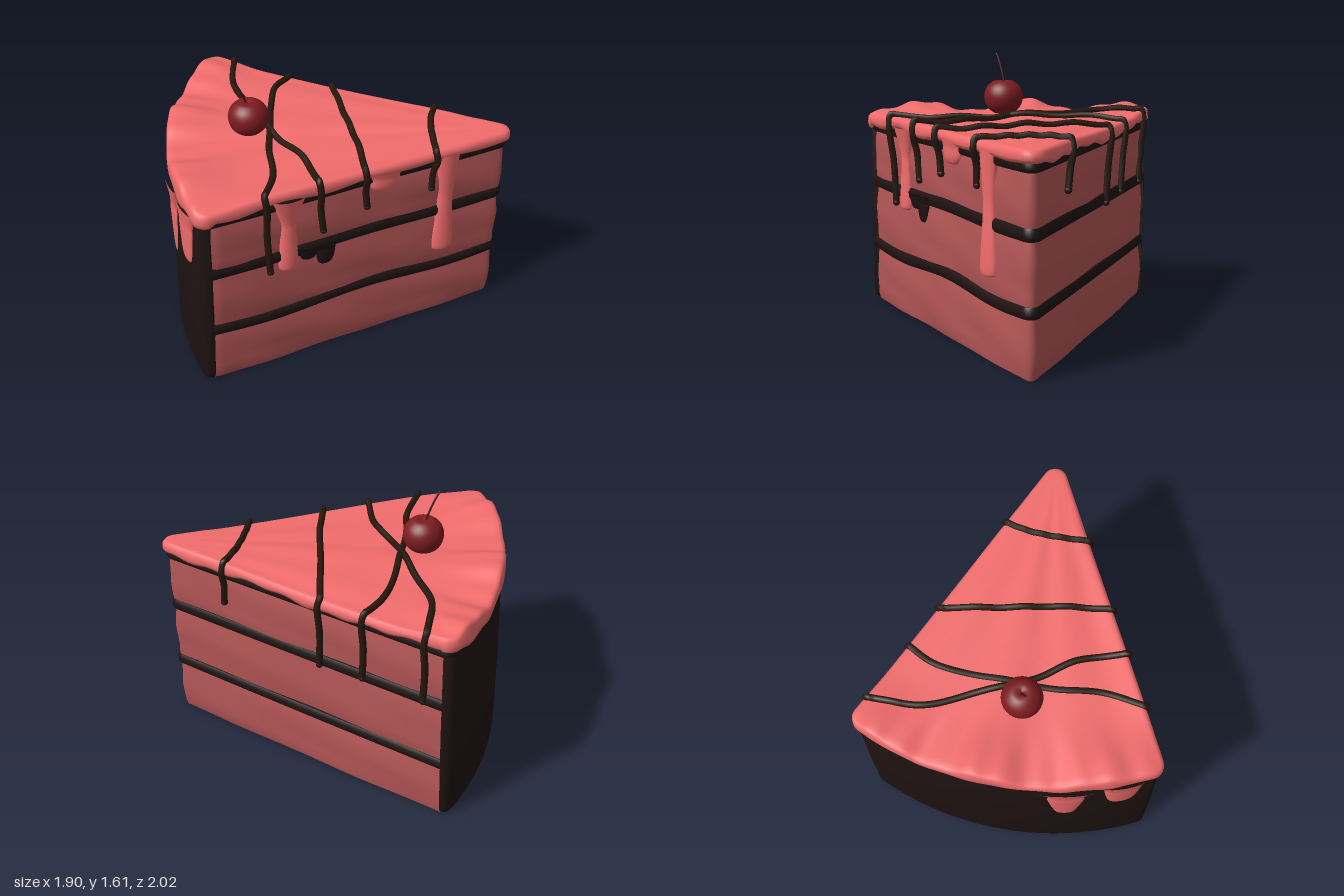
import * as THREE from 'three';
import { toCreasedNormals } from 'three/addons/utils/BufferGeometryUtils.js';

const { sin, cos, PI } = Math;
const rad = (d) => d * PI / 180;
const mat = (color) => new THREE.MeshStandardMaterial({ color });
const sponge = mat(0xb45656), chocolate = mat(0x1f1212), icing = mat(0xf26c6c),
  syrup = mat(0x26170d), cherryRed = mat(0x7c1c20), stemBrown = mat(0x3f1414);

// Plan of the slice: a circle sector with rounded corners
const TIP = { x: 0.875, z: 0.92 }, R = 1.92, ROUND = 0.04;
const A0 = rad(204.6), A1 = rad(256);               // directions of the two cut sides
const NA = A0 - PI / 2, NB = A1 + PI / 2;           // outward normals of the cut sides
const CENTRE = { x: 0.1, z: 0.05 };

// Samples round the outline: core point, normal angle, kind of edge
function outline() {
  const list = [];
  const add = (n, kind, f) => {
    for (let i = 0; i < n; i++) {
      const [r, dir, a] = f(kind === 'side' ? i / n : i / (n - 1));
      list.push({ x: TIP.x + r * cos(dir), z: TIP.z + r * sin(dir), nx: cos(a), nz: sin(a), kind });
    }
  };
  add(50, 'side', (t) => [R * t, A0, NA]);
  add(7, 'back', (t) => [R, A0, NA + t * PI / 2]);
  add(70, 'back', (t) => [R, A0 + (A1 - A0) * t, A0 + (A1 - A0) * t]);
  add(7, 'back', (t) => [R, A1, A1 + t * PI / 2]);
  add(50, 'side', (t) => [R * (1 - t), A1, NB]);
  add(9, 'tip', (t) => [0, 0, NB + t * (NA + 2 * PI - NB)]);
  return list;
}
const SAMPLES = outline();

// Closed loft: each row maps a sample to {off, y, s}; s pulls the ring to the centre
function loft(name, material, rows, crease = 0.7) {
  const pos = [], idx = [], n = SAMPLES.length;
  rows.forEach((row) => SAMPLES.forEach((p) => {
    const { off, y, s = 1 } = row(p);
    const x = THREE.MathUtils.lerp(CENTRE.x, p.x + p.nx * (ROUND + off), s);
    const z = THREE.MathUtils.lerp(CENTRE.z, p.z + p.nz * (ROUND + off), s);
    pos.push(x, typeof y === 'function' ? y(x, z) : y, z);
  }));
  for (let j = 0; j < rows.length - 1; j++) for (let i = 0; i < n; i++) {
    const k = (i + 1) % n, a = j * n + i, b = a + n, c = (j + 1) * n + k, d = j * n + k;
    idx.push(a, b, c, a, c, d);
  }
  const g = new THREE.BufferGeometry();
  g.setAttribute('position', new THREE.Float32BufferAttribute(pos, 3));
  g.setIndex(idx);
  return named(name, toCreasedNormals(g, crease), material);
}

function named(name, geometry, material) {
  const m = new THREE.Mesh(geometry, material);
  m.name = name;
  return m;
}

// Solid layer between y0 and y1 with a side profile of [height fraction, offset]
function layer(name, material, y0, y1, profile, wave, lump) {
  const at = (f, off, s) => (p) => {
    const y = y0 + (y1 - y0) * f;
    return { off: off(p, y), y: y + wave(p), s };
  };
  const rows = profile.map(([f, o]) => at(f, (p, y) => o + lump(p, y), 1));
  rows.unshift(at(0, () => 0, 0));
  rows.push(at(1, () => 0, 0));
  return loft(name, material, rows);
}

// Height of the icing top: gentle folds and a lumpy raised back rim
function topY(x, z) {
  const dx = x - TIP.x, dz = z - TIP.z, d = Math.hypot(dx, dz);
  const a = Math.atan2(dz, dx) + 2 * PI;
  const rim = THREE.MathUtils.smoothstep(d, 1.6, 1.95);
  const folds = 0.008 * sin(a * 22) * Math.min(1, d);
  return 1.222 + folds + 0.006 * sin(6 * x - 4 * z)
    + rim * (0.022 + 0.026 * cos((a - rad(233.3)) * 17.4) + 0.008 * sin(a * 60));
}

// Points on the walls of the slice, with the outward normal
const wall = (r, dir, normal, off) => ({
  x: TIP.x + r * cos(dir) + (ROUND + off) * cos(normal),
  z: TIP.z + r * sin(dir) + (ROUND + off) * sin(normal), normal });
const frontWall = (x, off) =>
  wall((x - TIP.x - (ROUND + off) * cos(NA)) / cos(A0), A0, NA, off);
const sideWall = (z, off) =>
  wall((z - TIP.z - (ROUND + off) * sin(NB)) / sin(A1), A1, NB, off);
const backWall = (deg, off) => wall(R, rad(deg), rad(deg), off);

// Flattened run of icing or filling hanging on a wall
function drip(name, material, w, yTop, yBot, top, neck, bulb, depth) {
  const h = yTop - yBot, b = Math.min(bulb * 0.9, h * 0.4);
  const pts = [[0, yBot], [bulb * 0.65, yBot + b * 0.15], [bulb, yBot + b * 0.8],
    [neck, yBot + b + (h - b) * 0.45], [neck * 1.05, yBot + b + (h - b) * 0.65], [top, yTop]];
  const curve = new THREE.SplineCurve(pts.map((p) => new THREE.Vector2(...p)));
  const profile = curve.getPoints(28).map((p) => p.set(Math.max(0, p.x), p.y));
  const m = named(name, new THREE.LatheGeometry(profile, 24), material);
  m.position.set(w.x, 0, w.z);
  m.rotation.y = PI / 2 - w.normal;
  m.scale.z = depth;
  return m;
}

// Syrup line across the top, hanging over both cut sides
function drizzle(x0, x0Low, y0, mids, z1, y1) {
  const v = (p, y) => new THREE.Vector3(p.x, y, p.z);
  const a = frontWall(x0, 0.03), b = sideWall(z1, 0.02);
  const across = new THREE.CatmullRomCurve3(
    [v(a, 0), ...mids.map(([x, z]) => new THREE.Vector3(x, 0, z)), v(b, 0)]).getPoints(36);
  across.forEach((p) => { p.y = topY(p.x, p.z) + 0.012; });
  const mid = (y0 + 1.2) / 2;
  const path = [v(frontWall(x0Low, 0.018), y0), v(frontWall((x0 + x0Low) / 2, 0.022), mid),
    v(frontWall(x0, 0.045), 1.17), ...across,
    v(sideWall(z1, 0.04), 1.17), v(sideWall(z1 + 0.005, 0.025), (y1 + 1.2) / 2),
    v(sideWall(z1 + 0.02, 0.018), y1)];
  const g = new THREE.Group();
  g.name = 'drizzle';
  g.add(named('drizzleLine', new THREE.TubeGeometry(new THREE.CatmullRomCurve3(path), 160, 0.02, 8), syrup));
  for (const p of [path[0], path[path.length - 1]]) {
    const end = named('drizzleEnd', new THREE.SphereGeometry(0.022, 12, 8), syrup);
    end.position.copy(p);
    g.add(end);
  }
  return g;
}

export function createModel() {
  const cake = new THREE.Group();
  cake.name = 'cakeSlice';

  // Sponge layers, slightly uneven on the cut sides
  const lump = (p, y) => (p.kind === 'back' ? -0.015 : 0.007 * sin(9 * p.x + 14 * y) * sin(5 * p.z - 11 * y));
  const bulge = [[0, -0.008], [0.08, 0], [0.25, 0.002], [0.42, 0.006], [0.6, 0.006], [0.8, 0], [1, -0.01]];
  for (const [y0, y1] of [[0, 0.37], [0.37, 0.78], [0.78, 1.14]])
    cake.add(layer('sponge', sponge, y0, y1, bulge, () => 0, lump));

  // Chocolate fillings bulging between the layers
  const round = [[0, -0.03], [0.08, 0.004], [0.3, 0.015], [0.7, 0.015], [0.92, 0.004], [1, -0.03]];
  const noLump = () => 0;
  for (const [y0, y1, amp] of [[0.33, 0.41, 0.016], [0.74, 0.825, 0.006], [1.1, 1.175, 0.003]])
    cake.add(layer('filling', chocolate, y0, y1, round,
      (p) => amp * cos(5.6 * (p.x - 0.05)) * (p.nz > 0.5 ? 1 : 0.3), noLump));

  // Chocolate coat on the curved back
  cake.add(layer('backCoat', chocolate, 0.003, 1.17,
    [[0, -0.015], [0.015, 0.004], [0.05, 0.012], [0.5, 0.018], [0.95, 0.014], [1, 0]],
    noLump, (p) => (p.kind === 'back' ? 0 : -0.05)));

  // Icing sheet with a rounded uneven lip
  const lipY = (p) => 1.15 + 0.012 * sin(11 * p.x + 3 * p.z) + 0.008 * sin(23 * p.z)
    - (p.kind === 'back' ? 0.02 + 0.012 * sin(17 * (p.x - p.z)) : 0)
    - (p.nx > 0.9 ? 0.03 * Math.exp(-(((p.z + 0.05) / 0.25) ** 2)) : 0);
  const inner = (s) => () => ({ off: 0.02, y: topY, s });
  cake.add(loft('icing', icing, [
    () => ({ off: 0, y: 1.165, s: 0 }),
    () => ({ off: -0.02, y: 1.165 }),
    (p) => ({ off: 0.012, y: lipY(p) }),
    (p) => ({ off: 0.03, y: lipY(p) + 0.012 }),
    (p) => ({ off: 0.037, y: lipY(p) * 0.5 + 0.6 }),
    () => ({ off: 0.034, y: (x, z) => topY(x, z) - 0.018 }),
    () => ({ off: 0.022, y: (x, z) => topY(x, z) - 0.004 }),
    ...[0.985, 0.95, 0.9, 0.84, 0.76, 0.66, 0.55, 0.42, 0.28, 0.14, 0].map(inner),
  ], 1.1));

  // Icing drips on the front cut and on the back
  cake.add(
    drip('icingDrip', icing, frontWall(-0.44, 0), 1.18, 0.67, 0.11, 0.05, 0.062, 0.6),
    drip('icingDrip', icing, frontWall(0.13, 0), 1.18, 1.04, 0.12, 0.1, 0.095, 0.4),
    drip('icingDrip', icing, frontWall(0.52, 0), 1.18, 0.48, 0.08, 0.053, 0.076, 0.6),
    drip('icingDrip', icing, backWall(219.2, 0.01), 1.17, 0.62, 0.24, 0.11, 0.065, 0.25),
    drip('icingDrip', icing, backWall(209.5, 0.01), 1.17, 0.78, 0.16, 0.11, 0.085, 0.3));

  // Filling run on the front cut
  cake.add(
    drip('fillingDrip', chocolate, frontWall(-0.22, 0), 0.8, 0.635, 0.1, 0.065, 0.055, 0.45),
    drip('fillingDrip', chocolate, frontWall(-0.32, 0), 0.8, 0.7, 0.1, 0.07, 0.055, 0.4));

  // Syrup lines
  cake.add(
    drizzle(-0.6, -0.56, 0.7, [[-0.38, 0.2], [-0.2, 0.02], [0, -0.14], [0.2, -0.3], [0.4, -0.43]], -0.47, 0.78),
    drizzle(-0.29, -0.25, 0.89, [[-0.13, 0.22], [-0.05, -0.05], [0.1, -0.35], [0.25, -0.65]], -0.86, 0.78),
    drizzle(-0.02, 0.01, 0.97, [[0.15, 0.42], [0.4, 0.12]], -0.18, 0.76),
    drizzle(0.41, 0.41, 0.97, [[0.6, 0.62], [0.72, 0.54]], 0.49, 0.95));

  // Cherry with a dimple and a curved stem
  const berry = [[0, -0.105], [0.06, -0.095], [0.105, -0.055], [0.122, 0.005], [0.108, 0.06],
    [0.07, 0.098], [0.035, 0.106], [0, 0.095]].map((p) => new THREE.Vector2(...p));
  const cherry = named('cherry', new THREE.LatheGeometry(new THREE.SplineCurve(berry).getPoints(32)
    .map((p) => p.set(Math.max(0, p.x), p.y)), 36), cherryRed);
  cherry.position.set(-0.122, 1.337, -0.205);
  const stem = new THREE.QuadraticBezierCurve3(new THREE.Vector3(-0.125, 1.42, -0.215),
    new THREE.Vector3(-0.155, 1.53, -0.23), new THREE.Vector3(-0.21, 1.608, -0.247));
  cake.add(cherry, named('cherryStem', new THREE.TubeGeometry(stem, 16, 0.006, 8), stemBrown));

  return cake;
}
